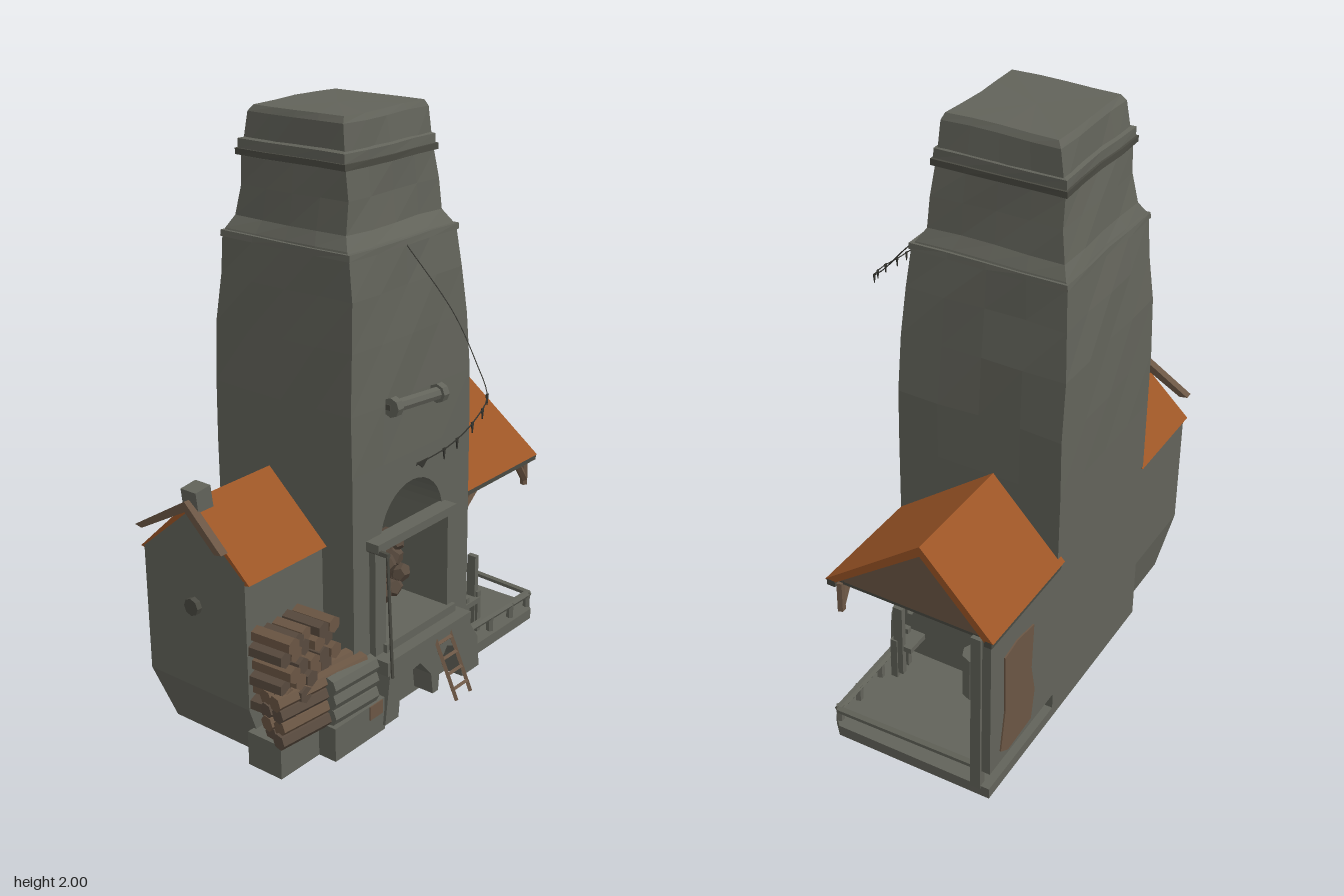
import * as THREE from 'three';

const mat = (name, color) => Object.assign(new THREE.MeshStandardMaterial({ color }), { name, flatShading: true });

export function createModel() {
  const stone = mat('stone', 0x62635a), dark = mat('dark stone', 0x4a4a42);
  const tile = mat('orange tile', 0x9c5526), wood = mat('brown wood', 0x6b5644);
  const coal = mat('dark logs', 0x584a3e), rope = mat('rope', 0x34342f);

  const root = new THREE.Group();
  let seed = 7;
  const rand = () => (seed = (seed * 16807) % 2147483647) / 2147483647;
  const add = (name, geo, m, parent = root) => {
    const mesh = new THREE.Mesh(geo, m);
    mesh.name = name;
    parent.add(mesh);
    return mesh;
  };
  // box given by its limits on each axis
  const box = (name, m, x0, x1, y0, y1, z0, z1, parent) => {
    const b = add(name, new THREE.BoxGeometry(x1 - x0, y1 - y0, z1 - z0), m, parent);
    b.position.set((x0 + x1) / 2, (y0 + y1) / 2, (z0 + z1) / 2);
    return b;
  };
  // round bar between two points
  const bar = (name, m, a, b, r, sides = 6, parent) => {
    const p = new THREE.Vector3(...a), q = new THREE.Vector3(...b), d = q.clone().sub(p);
    const c = add(name, new THREE.CylinderGeometry(r, r, d.length(), sides), m, parent);
    c.position.copy(p).add(q).multiplyScalar(0.5);
    c.quaternion.setFromUnitVectors(new THREE.Vector3(0, 1, 0), d.normalize());
    return c;
  };
  // unevenness depending only on position, fading out at the foot of the shaft
  const wobble = (geo, amount) => {
    const p = geo.attributes.position;
    for (let i = 0; i < p.count; i++) {
      const x = p.getX(i), y = p.getY(i), z = p.getZ(i);
      const k = amount * THREE.MathUtils.clamp((y - 0.9) / 0.15, 0, 1);
      p.setXYZ(i, x + k * Math.sin(19 * y + 13 * z), y + k * 0.5 * Math.sin(17 * x + 11 * z), z + k * Math.sin(15 * x + 21 * y));
    }
    geo.computeVertexNormals();
    return geo;
  };
  // rectangular loft: rows of [y, x0, x1, z0, z1], capped at both ends
  const loft = (rows, n = 4) => {
    const pos = [], idx = [], ring = 4 * n;
    for (const [y, x0, x1, z0, z1] of rows) {
      const c = [[x0, z1], [x1, z1], [x1, z0], [x0, z0]];
      for (let s = 0; s < 4; s++) for (let i = 0; i < n; i++) {
        const a = c[s], b = c[(s + 1) % 4], t = i / n;
        pos.push(a[0] + (b[0] - a[0]) * t, y, a[1] + (b[1] - a[1]) * t);
      }
    }
    for (let r = 0; r < rows.length - 1; r++) for (let i = 0; i < ring; i++) {
      const a = r * ring + i, b = r * ring + (i + 1) % ring;
      idx.push(a, b, b + ring, a, b + ring, a + ring);
    }
    for (const r of [0, rows.length - 1]) {
      const [y, x0, x1, z0, z1] = rows[r], centre = pos.length / 3;
      pos.push((x0 + x1) / 2, y, (z0 + z1) / 2);
      for (let i = 0; i < ring; i++) {
        const a = r * ring + i, b = r * ring + (i + 1) % ring;
        idx.push(...(r ? [a, b, centre] : [b, a, centre]));
      }
    }
    const g = new THREE.BufferGeometry();
    g.setAttribute('position', new THREE.Float32BufferAttribute(pos, 3));
    g.setIndex(idx);
    const flat = g.toNonIndexed();
    flat.computeVertexNormals();
    return flat;
  };
  const shapeOf = pts => new THREE.Shape(pts.map(p => new THREE.Vector2(...p)));
  const extrude = (shape, depth) => new THREE.ExtrudeGeometry(shape, { depth, bevelEnabled: false, curveSegments: 8 });
  // (z, y) outline swept along x from x0 to x1
  const sweepX = (pts, x0, x1) => extrude(shapeOf(pts), x1 - x0).rotateY(-Math.PI / 2).translate(x1, 0, 0);
  const arch = (x0, x1, y0, spring) => {
    const h = new THREE.Path(), r = (x1 - x0) / 2;
    h.moveTo(x0, y0).lineTo(x1, y0).lineTo(x1, spring);
    h.absarc((x0 + x1) / 2, spring, r, 0, Math.PI, false);
    return h.lineTo(x0, y0);
  };

  // tower: hollow hearth front, solid back, tapered top
  const front = shapeOf([[-0.33, 0], [0.29, 0], [0.29, 0.9], [-0.33, 0.9]]);
  front.holes.push(arch(-0.19, 0.14, 0.24, 0.635));
  add('hearthWall', extrude(front, 0.3).translate(0, 0, -0.22), stone);
  box('towerBack', stone, -0.33, 0.29, 0, 0.9, -0.5, -0.22);
  add('towerShaft', wobble(loft([
    [0.9, -0.33, 0.29, -0.5, 0.08], [1.1, -0.327, 0.287, -0.5, 0.077], [1.3, -0.315, 0.275, -0.495, 0.072],
    [1.46, -0.303, 0.258, -0.485, 0.063], [1.59, -0.295, 0.245, -0.47, 0.052], [1.61, -0.288, 0.238, -0.463, 0.04],
    [1.65, -0.262, 0.212, -0.447, 0.012], [1.75, -0.25, 0.2, -0.435, 0.003], [1.84, -0.245, 0.19, -0.425, 0],
    [1.86, -0.242, 0.187, -0.42, -0.002], [1.98, -0.24, 0.175, -0.405, -0.015], [2, -0.228, 0.163, -0.393, -0.025],
  ]), 0.004), stone);
  add('shoulderTrim', wobble(loft([[1.585, -0.302, 0.25, -0.475, 0.058], [1.605, -0.3, 0.248, -0.473, 0.056]]), 0.003), stone);
  add('capBand', wobble(loft([[1.845, -0.262, 0.198, -0.435, 0.012], [1.865, -0.262, 0.198, -0.435, 0.012]]), 0.003), dark);
  add('capMoulding', wobble(loft([[1.865, -0.255, 0.19, -0.428, 0.006], [1.895, -0.255, 0.19, -0.428, 0.006], [1.9, -0.24, 0.176, -0.41, -0.01]]), 0.003), stone);

  // hearth: glowing back, frame and log heap
  const glow = new THREE.Shape(arch(-0.188, 0.138, 0.25, 0.635).getPoints(8));
  add('glowingBack', extrude(glow, 0.006).translate(0, 0, -0.219), tile);
  box('lintel', stone, -0.265, 0.155, 0.635, 0.665, 0.07, 0.13);
  for (const [x0, x1] of [[-0.25, -0.195], [0.14, 0.19]]) box('hearthPost', stone, x0, x1, 0.24, 0.64, 0.08, 0.105);
  box('hearthSill', stone, -0.21, 0.17, 0.24, 0.28, -0.2, 0.12);
  for (let i = 0; i < 60; i++) {
    const s = rand();
    const lump = add('hearthLog', new THREE.DodecahedronGeometry(0.026 + rand() * 0.018, 0), coal);
    lump.position.set(-0.155 + s * 0.27, 0.3 + (i % 4) / 3 * (0.11 + 0.07 * s) + rand() * 0.02, -0.06 - 0.12 * rand());
    lump.rotation.set(rand() * 3, rand() * 3, rand() * 3);
  }

  // plinth in front of the tower with two low arches
  const plinth = shapeOf([[-0.27, 0.02], [-0.2, 0.02], [-0.19, 0.1], [-0.15, 0.16], [-0.08, 0.17], [-0.02, 0.1], [-0.01, 0.02],
    [0.02, 0.02], [0.03, 0.12], [0.07, 0.17], [0.12, 0.15], [0.15, 0.09], [0.16, 0.01], [0.26, 0.01], [0.25, 0.13], [0.19, 0.22], [-0.24, 0.22]]);
  add('plinth', extrude(plinth, 0.09).translate(0, 0, 0.07), stone);
  box('plinthLedge', stone, -0.26, 0.2, 0.2, 0.25, 0.06, 0.165);

  // ladder
  for (const x of [0.005, 0.085]) bar('ladderRail', wood, [x, 0.02, 0.25], [x, 0.24, 0.15], 0.009, 4);
  for (let i = 0; i < 4; i++) {
    const y = 0.055 + i * 0.05, z = 0.25 - (y - 0.02) * 0.455;
    bar('ladderRung', wood, [0.005, y, z], [0.085, y, z], 0.008, 4);
  }

  // wall beam above the arch, and a hanging pole
  bar('wallBeam', stone, [-0.15, 1.095, 0.1], [0.09, 1.075, 0.1], 0.022, 8);
  for (const [x, y] of [[-0.15, 1.095], [0.09, 1.075]]) {
    bar('beamKnob', stone, [x - 0.014, y, 0.1], [x + 0.014, y, 0.1], 0.033, 8);
    bar('beamBracket', dark, [x, y, 0.05], [x, y, 0.1], 0.018, 6);
  }
  bar('hangingPole', dark, [-0.255, 0.2, 0.18], [-0.255, 0.64, 0.16], 0.006, 5);
  bar('poleHook', dark, [-0.255, 0.635, 0.08], [-0.255, 0.635, 0.165], 0.01, 5);

  // gabled shell over a wing: front eave, ridge and back eave depths
  const roof = (name, m, x0, x1, zf, zm, zb, eave, top, t) => add(name, sweepX(
    [[zb, eave], [zb + 0.03, eave - 0.005], [zm, top - t], [zf - 0.03, eave - 0.005], [zf, eave], [zm, top]], x0, x1), m);

  // open porch on the left side (+x)
  const porch = new THREE.Group();
  porch.name = 'porch';
  root.add(porch);
  roof('porchRoof', tile, 0.27, 0.72, 0.08, -0.265, -0.515, 0.65, 0.91, 0.035);
  add('porchGable', sweepX([[-0.49, 0.645], [-0.265, 0.885], [0.05, 0.645]], 0.69, 0.7), wood, porch);
  box('porchCeiling', dark, 0.29, 0.7, 0.635, 0.65, -0.49, 0.05, porch);
  box('frontEaveBeam', dark, 0.285, 0.72, 0.63, 0.652, 0.045, 0.075, porch);
  box('backEaveBeam', dark, 0.285, 0.72, 0.63, 0.652, -0.51, -0.485, porch);
  box('porchBackWall', stone, 0.28, 0.705, 0.1, 0.64, -0.5, -0.455, porch);
  const panel = shapeOf([[0.45, 0.13], [0.6, 0.12], [0.645, 0.15], [0.62, 0.3], [0.625, 0.52], [0.55, 0.535], [0.445, 0.52], [0.455, 0.35], [0.43, 0.24]]);
  for (const z of [-0.456, -0.505]) add('wallPanel', extrude(panel, 0.007).translate(0, 0, z), wood, porch);
  box('cornerPost', stone, 0.685, 0.715, 0.03, 0.64, -0.47, -0.435, porch);
  const slab = shapeOf([[0.27, -0.1], [0.68, -0.1], [0.72, -0.06], [0.71, 0.5], [0.27, 0.5]]);
  add('porchFloor', extrude(slab, 0.04).rotateX(-Math.PI / 2), stone, porch);
  bar('frontRail', stone, [0.3, 0.1, 0.075], [0.7, 0.09, 0.075], 0.014, 6, porch);
  bar('sideRail', stone, [0.7, 0.09, 0.075], [0.7, 0.11, -0.46], 0.012, 6, porch);
  for (const x of [0.33, 0.45, 0.58, 0.69]) bar('railPost', stone, [x, 0.02, 0.075], [x, 0.1, 0.075], 0.014, 5, porch);
  for (const [x, dx] of [[0.3, 0.09], [0.7, -0.07]]) {
    bar('roofBrace', wood, [x, 0.55, 0.04], [x + dx, 0.64, 0.05], 0.014, 5, porch);
    bar('braceFoot', wood, [x, 0.53, 0.04], [x, 0.64, 0.04], 0.014, 5, porch);
  }
  // bench, tub and round plate inside the porch
  box('benchSeat', stone, 0.33, 0.42, 0.16, 0.18, -0.03, 0.05, porch);
  box('benchBack', stone, 0.405, 0.425, 0.06, 0.34, 0.0, 0.035, porch);
  bar('benchArm', stone, [0.34, 0.27, 0.03], [0.415, 0.345, -0.03], 0.013, 5, porch);
  for (const x of [0.34, 0.41]) box('benchLeg', stone, x, x + 0.02, 0.03, 0.2, 0.02, 0.045, porch);
  bar('tub', stone, [0.35, 0.03, -0.245], [0.35, 0.21, -0.245], 0.05, 8, porch);
  bar('roundPlate', wood, [0.288, 0.37, -0.335], [0.296, 0.37, -0.335], 0.026, 10, porch);

  // closed wing on the right side (-x), narrowing at its foot
  add('wingWalls', loft([[0, -0.62, -0.32, -0.455, -0.05], [0.2, -0.69, -0.32, -0.49, -0.05], [0.65, -0.69, -0.32, -0.49, -0.05]], 2), stone);
  add('wingGable', sweepX([[-0.49, 0.645], [-0.27, 0.83], [-0.05, 0.645]], -0.69, -0.32), stone);
  roof('wingRoof', tile, -0.69, -0.32, -0.03, -0.27, -0.505, 0.64, 0.86, 0.03);
  roof('gableBoard', wood, -0.715, -0.685, -0.12, -0.27, -0.5, 0.725, 0.865, 0.035);
  box('flue', stone, -0.69, -0.625, 0.76, 0.9, -0.3, -0.235).rotation.z = 0.12;
  bar('gableHook', dark, [-0.71, 0.5, -0.27], [-0.68, 0.5, -0.27], 0.03, 8);
  box('wingFooting', stone, -0.69, -0.5, 0, 0.12, -0.06, 0.08);
  box('frontFooting', stone, -0.51, -0.26, 0, 0.12, -0.06, 0.15);
  box('footingStain', wood, -0.34, -0.275, 0.07, 0.12, 0.149, 0.154);

  // firewood: stacked ends above, long logs below, thick short logs in front
  for (let r = 0; r < 6; r++) for (let i = 0; i < 5; i++) {
    const x = -0.66 + i * 0.047 + (r % 2) * 0.015, y = 0.22 + r * 0.046 + (rand() - 0.5) * 0.015;
    bar('stackedLog', (i + r) % 2 ? wood : coal, [x, y, -0.06], [x + 0.01, y, 0.065 + rand() * 0.04], 0.029, 6);
  }
  for (let r = 0; r < 4; r++) for (let j = 0; j < 2; j++) {
    const y = 0.135 + r * 0.043, z = 0.025 + j * 0.05 - r * 0.005;
    bar('longLog', r % 2 ? wood : coal, [-0.7 + rand() * 0.03, y, z], [-0.33 + rand() * 0.04, y + 0.01, z + 0.05], 0.028, 6);
  }
  for (const y of [0.15, 0.205, 0.255]) bar('shortLog', stone, [-0.5, y, 0.115], [-0.295, y, 0.125], 0.033, 7);

  // bunting line with little pennants
  const line = new THREE.CatmullRomCurve3([[-0.03, 1.59, 0.055], [-0.045, 1.41, 0.25], [-0.085, 1.28, 0.37], [-0.14, 1.21, 0.45],
    [-0.25, 1.18, 0.49], [-0.4, 1.15, 0.51], [-0.57, 1.14, 0.513]].map(p => new THREE.Vector3(...p)));
  add('buntingLine', new THREE.TubeGeometry(line, 40, 0.002, 4), rope);
  for (const t of [0.5, 0.6, 0.7, 0.8, 0.87, 0.97]) {
    const p = line.getPoint(t), w = t > 0.9 ? 0.025 : 0.006;
    add('pennant', extrude(shapeOf([[-w, 0.004], [0, -0.035 + w * 0.7], [w, 0.004]]), 0.004).translate(p.x, p.y, p.z - 0.002), rope);
  }
  return root;
}
